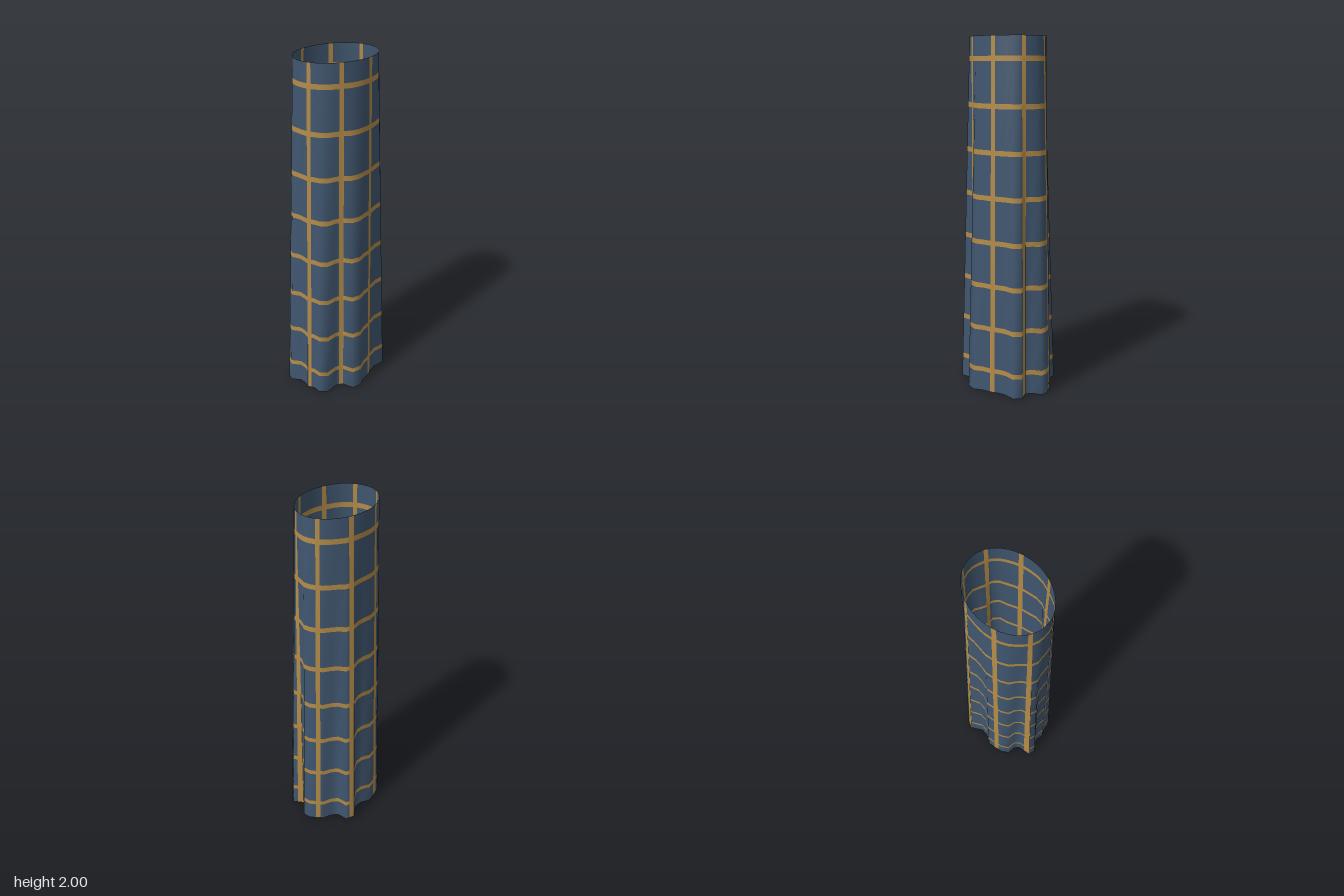
import * as THREE from 'three';

const HEIGHT = 2, RX = 0.24, RZ = 0.187, CX = 0.002, CZ = -0.007;

// Flare of the hem at every 10 degrees, starting at the back and turning towards +x
const FLARE = [
  1.08, 1.09, 1.4, 1.39, 1.12, 1.11, 1.22, 1.25, 1.3, 1.295, 1.09, 1.08,
  1.34, 1.36, 1.15, 1.12, 1.17, 1.2, 1.36, 1.35, 1.04, 1.05, 1.31, 1.31,
  1.18, 1.19, 1.11, 1.12, 1.32, 1.33, 1.07, 1.07, 1.265, 1.29, 1.265, 1.26,
];
const STEP = 360 / FLARE.length;

// Stripe layout: eight upright stripes and eight level ones
const uprights = Array.from({ length: 8 }, (_, i) => 22.5 + 45 * i);
const levels = Array.from({ length: 8 }, (_, i) => 0.13 + 0.25 * i);
const HALF_ANGLE = 3.1, HALF_LEVEL = 0.014;

const onStripe = (v, centres, half) => centres.some((c) => Math.abs(v - c) < half);
const sorted = (values) => [...new Set(values)].sort((a, b) => a - b);

// Corner of a pleat: oval at the top, flared evenly towards the hem
function corner(i, y) {
  const n = i % FLARE.length;
  const a = THREE.MathUtils.degToRad(n * STEP);
  const k = THREE.MathUtils.lerp(FLARE[n], 1, y / HEIGHT);
  return new THREE.Vector3(CX + RX * k * Math.sin(a), y, CZ - RZ * k * Math.cos(a));
}

// Point on the cloth, running straight between neighbouring corners
function clothPoint(angle, y) {
  const i = Math.floor(angle / STEP);
  return corner(i, y).lerp(corner(i + 1, y), angle / STEP - i);
}

function pleatedTube() {
  const angles = sorted([
    ...FLARE.map((_, i) => i * STEP),
    ...uprights.flatMap((c) => [c - HALF_ANGLE, c + HALF_ANGLE]),
  ]);
  const heights = sorted([0, HEIGHT, ...levels.flatMap((c) => [c - HALF_LEVEL, c + HALF_LEVEL])]);
  const n = angles.length;
  const positions = [];
  for (const y of heights) for (const a of angles) positions.push(...clothPoint(a, y).toArray());

  // Sort the cells into plain cloth and stripes
  const cloth = [], stripes = [];
  for (let r = 0; r < heights.length - 1; r++) {
    const level = onStripe((heights[r] + heights[r + 1]) / 2, levels, HALF_LEVEL);
    for (let c = 0; c < n; c++) {
      const next = (c + 1) % n;
      const mid = (angles[c] + (next ? angles[next] : 360)) / 2;
      const target = level || onStripe(mid, uprights, HALF_ANGLE) ? stripes : cloth;
      const a = r * n + c, b = r * n + next;
      target.push(a, a + n, b, b, a + n, b + n);
    }
  }
  const geometry = new THREE.BufferGeometry();
  geometry.setAttribute('position', new THREE.Float32BufferAttribute(positions, 3));
  geometry.setIndex([...cloth, ...stripes]);
  geometry.addGroup(0, cloth.length, 0);
  geometry.addGroup(cloth.length, stripes.length, 1);
  geometry.computeVertexNormals();
  return geometry;
}

export function createModel() {
  const navy = new THREE.MeshStandardMaterial({ color: 0x40566f, side: THREE.DoubleSide });
  navy.name = 'navy cloth';
  const gold = new THREE.MeshStandardMaterial({ color: 0xb48c48, side: THREE.DoubleSide });
  gold.name = 'gold stripe';

  const model = new THREE.Group();
  model.name = 'pleatedSkirt';
  const skirt = new THREE.Mesh(pleatedTube(), [navy, gold]);
  skirt.name = 'checkedCloth';
  model.add(skirt);
  return model;
}
